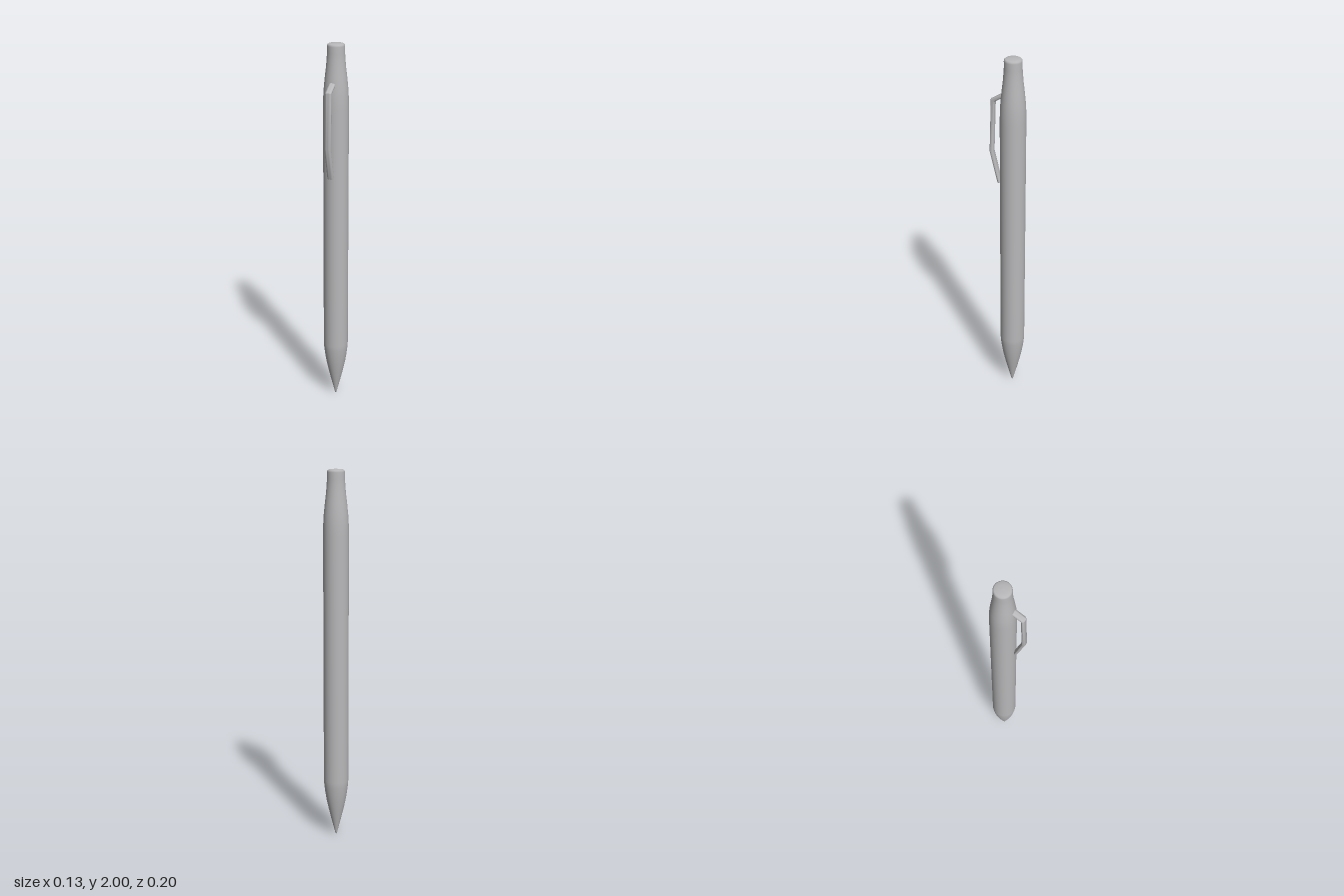
import * as THREE from 'three';
import { toCreasedNormals } from 'three/addons/utils/BufferGeometryUtils.js';

const BODY_Z = -0.031;

// Elliptical bar swept down a bent (y, z) path with mitred corners and a level lower end
function bentBar(path, halfWidth, halfThick, sides = 20) {
  const pts = path.map(([y, z]) => new THREE.Vector2(y, z));
  const last = pts.length - 1;
  const normalOf = (i) => {
    const t = pts[i + 1].clone().sub(pts[i]).normalize();
    return new THREE.Vector2(t.y, -t.x);
  };
  const positions = [];
  const index = [];
  pts.forEach((p, i) => {
    let n;
    if (i === 0) n = normalOf(0);
    else if (i === last) n = new THREE.Vector2(0, 1);
    else {
      const a = normalOf(i - 1);
      n = a.clone().add(normalOf(i)).normalize();
      n.divideScalar(n.dot(a));
    }
    for (let j = 0; j < sides; j++) {
      const a = (j / sides) * Math.PI * 2;
      const s = Math.sin(a) * halfThick;
      positions.push(Math.cos(a) * halfWidth, p.x + n.x * s, p.y + n.y * s);
    }
  });
  for (let i = 0; i < last; i++) {
    for (let j = 0; j < sides; j++) {
      const k = (j + 1) % sides;
      const a = i * sides + j, b = i * sides + k;
      const c = a + sides, d = b + sides;
      index.push(a, b, c, b, d, c);
    }
  }
  // end caps
  const end = last * sides;
  for (let j = 1; j < sides - 1; j++) {
    index.push(0, j + 1, j, end, end + j, end + j + 1);
  }
  const g = new THREE.BufferGeometry();
  g.setAttribute('position', new THREE.Float32BufferAttribute(positions, 3));
  g.setIndex(index);
  return toCreasedNormals(g, 0.75);
}

export function createModel() {
  const group = new THREE.Group();
  const grey = new THREE.MeshStandardMaterial({ color: 0xb8b8ba });
  grey.name = 'satin grey';

  // barrel with pointed tip, tapered shoulder and softly rounded top
  const profile = [
    [0, 0], [0.003, 0.001], [0.007, 0.015], [0.016, 0.05], [0.029, 0.1],
    [0.041, 0.15], [0.052, 0.2], [0.06, 0.25], [0.065, 0.29], [0.067, 0.32],
    [0.067, 0.6], [0.067, 1.2], [0.067, 1.66], [0.066, 1.72], [0.063, 1.77],
    [0.057, 1.83], [0.051, 1.88], [0.048, 1.92], [0.046, 1.95], [0.046, 1.985],
    [0.044, 1.993], [0.039, 1.997], [0.02, 1.9995], [0, 2],
  ].map(([r, y]) => new THREE.Vector2(r, y));
  const body = new THREE.Mesh(new THREE.LatheGeometry(profile, 64), grey);
  body.name = 'barrel';
  body.position.z = BODY_Z;
  group.add(body);

  // pocket clip, rooted inside the barrel
  const clip = new THREE.Mesh(
    bentBar([[1.807, 0.005], [1.76, 0.077], [1.475, 0.086], [1.3, 0.043]], 0.018, 0.0115),
    grey,
  );
  clip.name = 'pocketClip';
  group.add(clip);

  return group;
}
